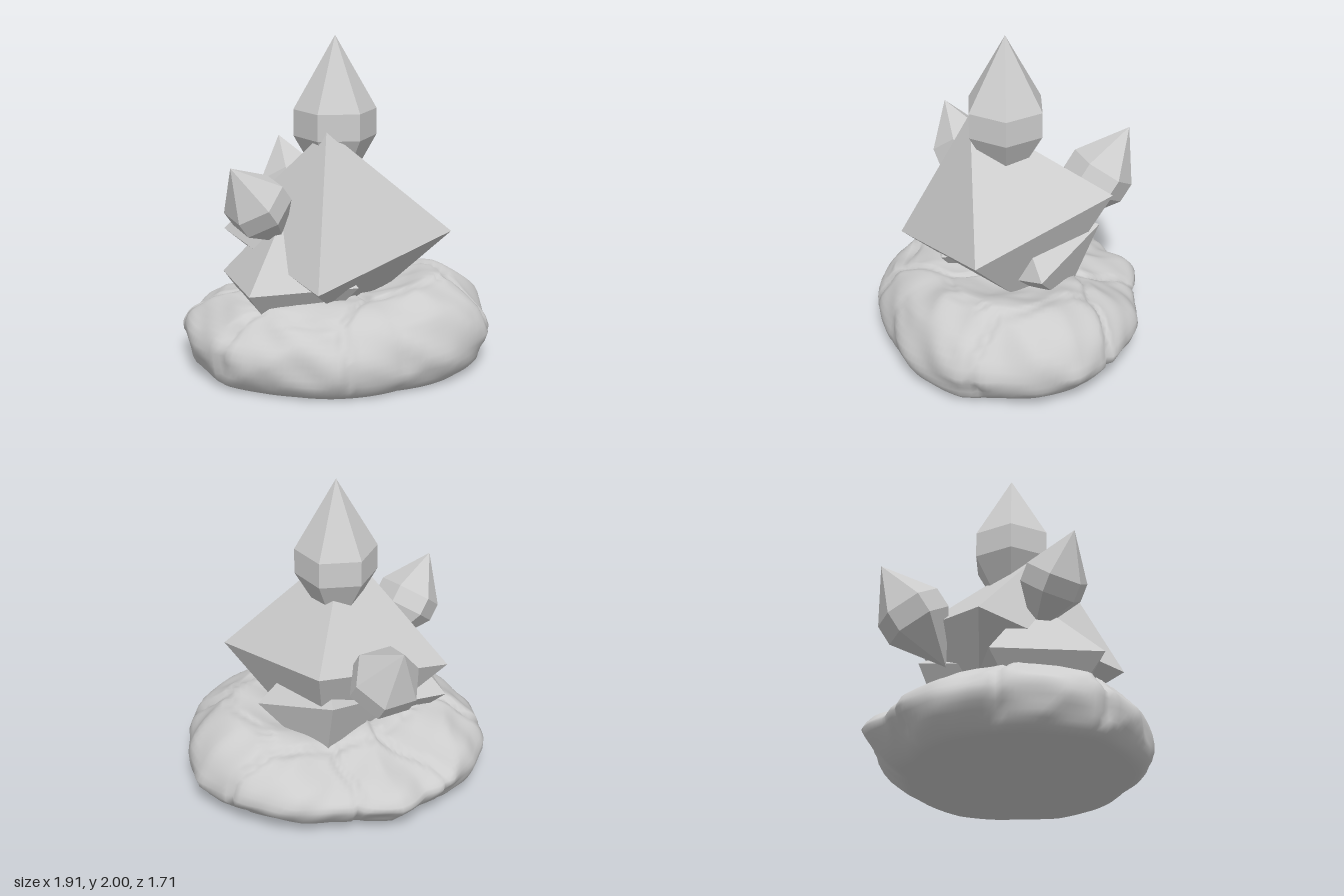
import * as THREE from 'three';

const V = (x, y, z) => new THREE.Vector3(x, y, z);

// Faceted six-sided crystal: pointed at both ends with a straight band between.
function crystal(name, material, tip, axis, r, point, band, twist) {
  const profile = [[0, -2 * point - band], [r, -point - band], [r, -point], [0, 0]]
    .map(([x, y]) => new THREE.Vector2(x, y));
  const geometry = new THREE.LatheGeometry(profile, 6, twist).toNonIndexed();
  geometry.computeVertexNormals();
  const mesh = new THREE.Mesh(geometry, material);
  mesh.name = name;
  mesh.position.copy(tip);
  mesh.quaternion.setFromUnitVectors(V(0, 1, 0), axis.normalize());
  return mesh;
}

// Eight-faced block given by its centre and three half-diagonals.
function octahedron(name, material, centre, a, b, c) {
  if (a.clone().cross(b).dot(c) < 0) c.negate();
  const geometry = new THREE.OctahedronGeometry(1);
  geometry.applyMatrix4(new THREE.Matrix4().makeBasis(a, b, c));
  geometry.computeVertexNormals();
  const mesh = new THREE.Mesh(geometry, material);
  mesh.name = name;
  mesh.position.copy(centre);
  return mesh;
}

// Outline radius of the rock every 15 degrees, from +x towards +z.
const OUTLINE = [0.95, 0.95, 0.92, 0.95, 0.9, 0.87, 0.83, 0.86, 0.88, 0.88, 0.91, 0.96,
  0.95, 0.95, 0.94, 0.92, 0.87, 0.81, 0.85, 0.77, 0.77, 0.82, 0.84, 0.89];

// Centres of the boulders that make up the rock.
const BOULDERS = [[0.88, 0.3, 0.1], [0.28, 0.25, 0.75], [-0.75, 0.2, 0.5], [-0.9, 0.3, -0.05],
  [-0.6, 0.3, -0.55], [-0.03, 0.2, -0.78], [0.55, 0.25, -0.6], [0.2, 0.5, 0.05],
  [-0.35, 0.5, 0.15]].map(p => V(...p));

function rockGeometry() {
  const columns = 160, rows = 56;
  const profile = new THREE.CatmullRomCurve3([[0, 0], [0.5, 0], [0.91, 0], [0.96, 0.03], [0.99, 0.08],
    [1, 0.2], [0.97, 0.275], [0.9, 0.34], [0.82, 0.385], [0.7, 0.43], [0.55, 0.455], [0.3, 0.45], [0, 0.44]]
    .map(([r, y]) => V(r, y, 0)), false, 'centripetal');
  const positions = [], index = [];
  for (let j = 0; j <= rows; j++) {
    const p = profile.getPointAt(j / rows);
    for (let i = 0; i < columns; i++) {
      const angle = i / columns * Math.PI * 2, c = Math.cos(angle), s = Math.sin(angle);
      const k = i / columns * 24, k0 = Math.floor(k);
      // The foot is undercut at the back and right.
      const undercut = Math.max(0.02, 0.09 + 0.05 * c - 0.1 * s) * Math.max(0, 1 - p.y / 0.2);
      const radius = p.x * (1 - undercut) * THREE.MathUtils.lerp(OUTLINE[k0], OUTLINE[(k0 + 1) % 24], k - k0);
      // The shoulder is higher at the front and right, lower at the back.
      const lift = 1 + (0.3 * s + 0.14 * c + 0.36 * c * c + 0.15 * s * c - 0.1)
        * THREE.MathUtils.smoothstep(p.x, 0.3, 0.75);
      const y = p.y < 0.2 ? Math.max(0, p.y) : 0.2 + (p.y - 0.2) * lift;
      const q = V(radius * c, y, radius * s);
      if (y > 0.005) {
        // Cracks open where two boulders meet, with ridges and unevenness elsewhere.
        const warped = V(q.x + 0.05 * Math.sin(9 * q.z + 5 * q.y), q.y, q.z + 0.05 * Math.sin(8 * q.x - 7 * q.y));
        const d = BOULDERS.map(b => b.distanceTo(warped)).sort((m, n) => m - n);
        const crack = 1 - THREE.MathUtils.smoothstep(d[1] - d[0], 0, 0.06);
        const ridge = 0.4 - Math.abs(Math.sin(6 * warped.x + 9 * q.y) * Math.cos(7 * warped.z - 8 * q.y));
        const bumps = 0.025 * ridge + 0.008 * Math.sin(17 * q.x + 19 * q.y) * Math.sin(15 * q.z + 12 * q.y);
        const push = (bumps - 0.03 * crack) * Math.min(1, y / 0.1);
        q.add(V(c * p.x, y > 0.25 ? 0.8 : 0, s * p.x).normalize().multiplyScalar(push));
      }
      positions.push(q.x, q.y, q.z);
      if (j < rows) {
        const a = j * columns + i, b = a + columns;
        const e = j * columns + (i + 1) % columns, f = e + columns;
        index.push(a, b, e, b, f, e);
      }
    }
  }
  const geometry = new THREE.BufferGeometry();
  geometry.setAttribute('position', new THREE.Float32BufferAttribute(positions, 3));
  geometry.setIndex(index);
  geometry.computeVertexNormals();
  return geometry;
}

export function createModel() {
  const group = new THREE.Group();
  group.name = 'crystalRock';
  const stone = new THREE.MeshStandardMaterial({ color: 0xcccccc });
  stone.name = 'paleStone';

  // Boulder base
  const rock = new THREE.Mesh(rockGeometry(), stone);
  rock.name = 'rockBase';
  group.add(rock);

  // Large central block and two smaller ones half sunk in the rock
  group.add(
    octahedron('centralBlock', stone, V(-0.033, 0.815, 0.06),
      V(0.4, 0.215, -0.54), V(0.56, 0.02, 0.42), V(-0.147, 0.655, 0.158)),
    octahedron('rightBlock', stone, V(0.129, 0.612, -0.098),
      V(0.38, 0.008, 0.148), V(0.131, 0.168, -0.352), V(0.071, -0.372, -0.152)),
    octahedron('leftBlock', stone, V(-0.36, 0.55, 0.075),
      V(-0.385, 0.015, 0.265), V(-0.265, -0.01, -0.385), V(0.01, 0.467, -0.02)),
  );

  // Pointed crystals
  group.add(
    crystal('topCrystal', stone, V(-0.035, 2, 0.05), V(0, 1, 0), 0.25, 0.44, 0.16, 0.14),
    crystal('backCrystal', stone, V(-0.015, 1.255, -0.78), V(0, 0.82, -0.575), 0.21, 0.3, 0.13, Math.PI / 6),
    crystal('sideCrystal', stone, V(-0.77, 1.29, 0.16), V(-0.163, 0.215, 0.045), 0.195, 0.27, 0.11, 0),
  );
  return group;
}
